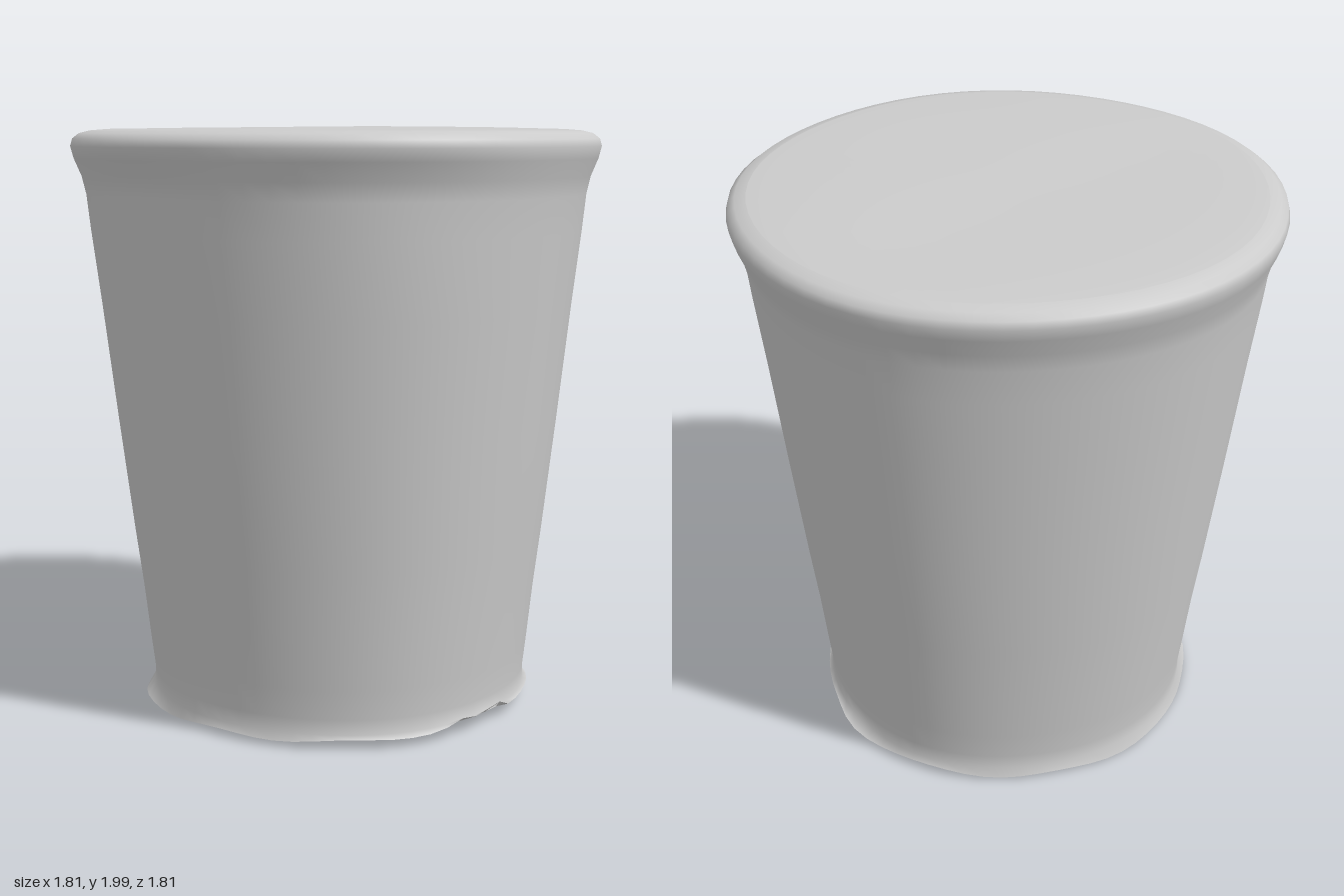
import * as THREE from 'three';
import { mergeVertices } from 'three/addons/utils/BufferGeometryUtils.js';

const SIDES = 64;

// Smooth lathe whose vertices are moved by a rule; the seam is welded afterwards
function wornLathe(profile, rule) {
  const geo = new THREE.LatheGeometry(profile.map(([r, y]) => new THREE.Vector2(r, y)), SIDES);
  geo.deleteAttribute('uv');
  geo.deleteAttribute('normal');
  const pos = geo.attributes.position;
  const v = new THREE.Vector3();
  for (let i = 0; i < pos.count; i++) {
    rule(v.fromBufferAttribute(pos, i));
    pos.setXYZ(i, v.x, v.y, v.z);
  }
  const welded = mergeVertices(geo, 1e-4);
  welded.computeVertexNormals();
  return welded;
}

// Bump of height 1 around a given angle
function bump(angle, centre, width) {
  const d = Math.atan2(Math.sin(angle - centre), Math.cos(angle - centre));
  return Math.exp(-((d / width) ** 2));
}

// Slightly uneven outline, strongest at the rim, axis leaning forward at the foot
function warp(v) {
  const a = Math.atan2(v.x, v.z);
  const k = 1 + 0.006 * Math.cos(3 * a + 0.6) + 0.005 * Math.cos(5 * a + 1.5);
  v.x *= k;
  v.z = v.z * k + 0.02 * Math.max(0, 1 - v.y / 1.9);
  return a;
}

export function createModel() {
  const model = new THREE.Group();
  const material = new THREE.MeshStandardMaterial({ color: 0xcccccc, side: THREE.DoubleSide });

  // Tapered wall, open below, with a flared foot and a ragged lower edge
  const wallProfile = [
    [0.675, 0.0], [0.662, 0.05], [0.66, 0.1], [0.672, 0.2], [0.694, 0.4], [0.72, 0.6],
    [0.768, 1.0], [0.814, 1.4], [0.845, 1.65], [0.858, 1.77], [0.872, 1.83], [0.897, 1.89],
    [0.907, 1.93], [0.9, 1.955], [0.877, 1.973], [0.84, 1.982],
  ];
  const wall = new THREE.Mesh(wornLathe(wallProfile, (v) => {
    const edge = v.y < 0.01;
    const a = warp(v);
    if (edge) {
      v.y = 0.026 + 0.014 * v.x + 0.02 * v.z + 0.006 * Math.sin(9 * a)
        + 0.035 * bump(a, 0.3, 0.25) * (0.6 + 0.4 * Math.sin(21 * a));
      v.y = Math.max(0, v.y);
      const flare = 1 + 0.035 * bump(a, 1.75, 0.2) + 0.03 * bump(a, -1.9, 0.25);
      v.x *= flare;
      v.z *= flare;
    } else if (v.y > 1.6 && v.y < 1.9) {
      // shallow dents under the rim
      const dent = 1 - 0.012 * bump(a, -0.3, 0.35) * bump(v.y, 1.8, 0.1)
        - 0.012 * bump(a, -1.35, 0.35) * bump(v.y, 1.8, 0.1);
      v.x *= dent;
      v.z *= dent;
    }
  }), material);
  wall.name = 'wall';
  model.add(wall);

  // Nearly flat lid with soft ripples
  const lidProfile = [[0.84, 1.982], [0.78, 1.987], [0.6, 1.99], [0.4, 1.99], [0.2, 1.99], [0, 1.99]];
  const lid = new THREE.Mesh(wornLathe(lidProfile, (v) => {
    const fade = Math.max(0, 1 - Math.hypot(v.x, v.z) / 0.84);
    v.y += 0.008 * fade * Math.sin(6 * v.z + 1.5 * v.x);
    warp(v);
  }), material);
  lid.name = 'lid';
  model.add(lid);

  return model;
}
